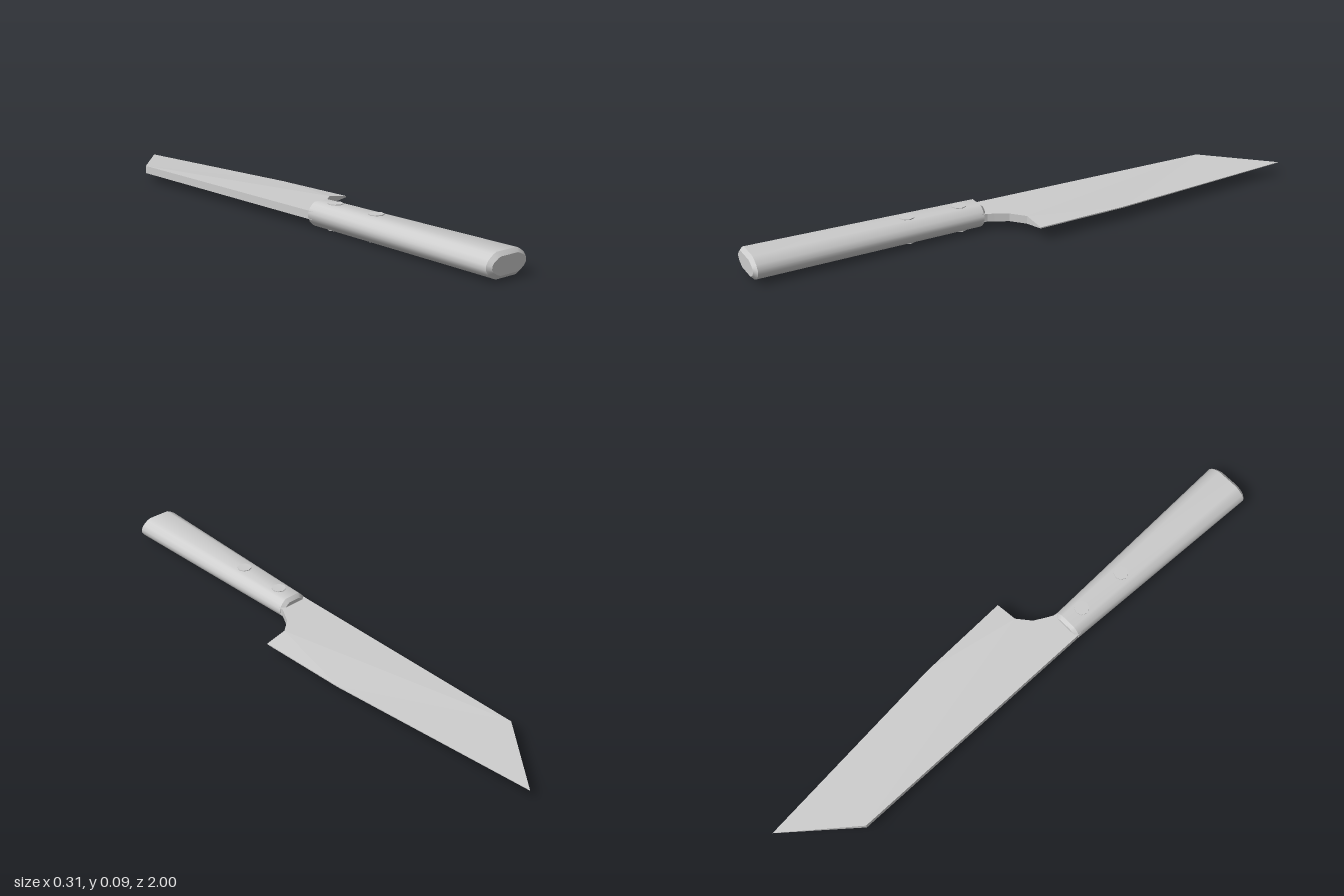
import * as THREE from 'three';
import { toCreasedNormals } from 'three/addons/utils/BufferGeometryUtils.js';

const MID = 0.045; // height of the knife's middle plane

function meshFrom(name, geometry, flatShading = false) {
  const mesh = new THREE.Mesh(geometry, new THREE.MeshStandardMaterial({ color: 0xcccccc, flatShading }));
  mesh.name = name;
  return mesh;
}

function geometryFrom(positions, index) {
  const g = new THREE.BufferGeometry();
  g.setAttribute('position', new THREE.Float32BufferAttribute(positions, 3));
  g.setIndex(index);
  return g;
}

// Handle: one rounded cross-section lofted along z, with chamfered ends
function createHandle() {
  const quarter = [[1, 0.18], [0.88, 0.55], [0.66, 0.86], [0.5, 1]];
  const back = [...quarter].reverse();
  const section = [
    ...quarter,
    ...back.map(([x, y]) => [-x, y]),
    ...quarter.map(([x, y]) => [-x, -y]),
    ...back.map(([x, y]) => [x, -y]),
  ];
  // z, centre x, half width, half height
  const rings = [
    [0.185, -0.066, 0.044, 0.028],
    [0.197, -0.066, 0.056, 0.04],
    [0.988, -0.071, 0.083, 0.04],
    [1, -0.071, 0.071, 0.028],
  ];
  const n = section.length, pos = [], idx = [];
  for (const [z, cx, w, h] of rings)
    for (const [x, y] of section) pos.push(cx + x * w, MID + y * h, z);
  for (let r = 0; r < rings.length - 1; r++)
    for (let j = 0; j < n; j++) {
      const a = r * n + j, b = r * n + (j + 1) % n;
      idx.push(a, b, b + n, a, b + n, a + n);
    }
  const last = (rings.length - 1) * n;
  for (let j = 1; j < n - 1; j++) {
    idx.push(0, j + 1, j);
    idx.push(last, last + j, last + j + 1);
  }
  return meshFrom('handle', toCreasedNormals(geometryFrom(pos, idx), 0.7));
}

// Blade: outline with a half thickness per corner, thick spine and thin edge
function createBlade() {
  const outline = [ // x, z, half thickness
    [-0.116, -0.765, 0.014], // spine corner
    [-0.12, 0.22, 0.014],
    [-0.015, 0.22, 0.014],
    [-0.01, 0.185, 0.014],
    [0, 0.165, 0.014],
    [0.025, 0.12, 0.014],
    [0.073, 0.08, 0.014],
    [0.154, 0.075, 0.002], // heel
    [0.144, -0.26, 0.002], // cutting edge
    [0.077, -1, 0.001], // tip
  ];
  const faces = [[0, 1, 2], [0, 2, 3], [0, 3, 4], [0, 4, 5], [0, 5, 6], [6, 7, 8], [0, 6, 8], [0, 8, 9]];
  const n = outline.length, pos = [], idx = [];
  for (const s of [1, -1])
    for (const [x, z, t] of outline) pos.push(x, MID + s * t, z);
  for (const [a, b, c] of faces) idx.push(a, b, c, a + n, c + n, b + n);
  for (let i = 0; i < n; i++) {
    const j = (i + 1) % n;
    idx.push(i + n, j + n, j, i + n, j, i);
  }
  return meshFrom('blade', geometryFrom(pos, idx).toNonIndexed(), true);
}

export function createModel() {
  const knife = new THREE.Group();
  knife.name = 'knife';
  knife.add(createHandle(), createBlade());

  // Rivets pass right through the handle
  for (const z of [0.265, 0.455]) {
    const rivet = meshFrom('rivet', new THREE.CylinderGeometry(0.026, 0.026, 0.088, 8), true);
    rivet.position.set(-0.064, MID - 0.001, z);
    knife.add(rivet);
  }

  knife.traverse((o) => {
    if (o.isMesh && !o.geometry.attributes.normal) o.geometry.computeVertexNormals();
  });
  return knife;
}
